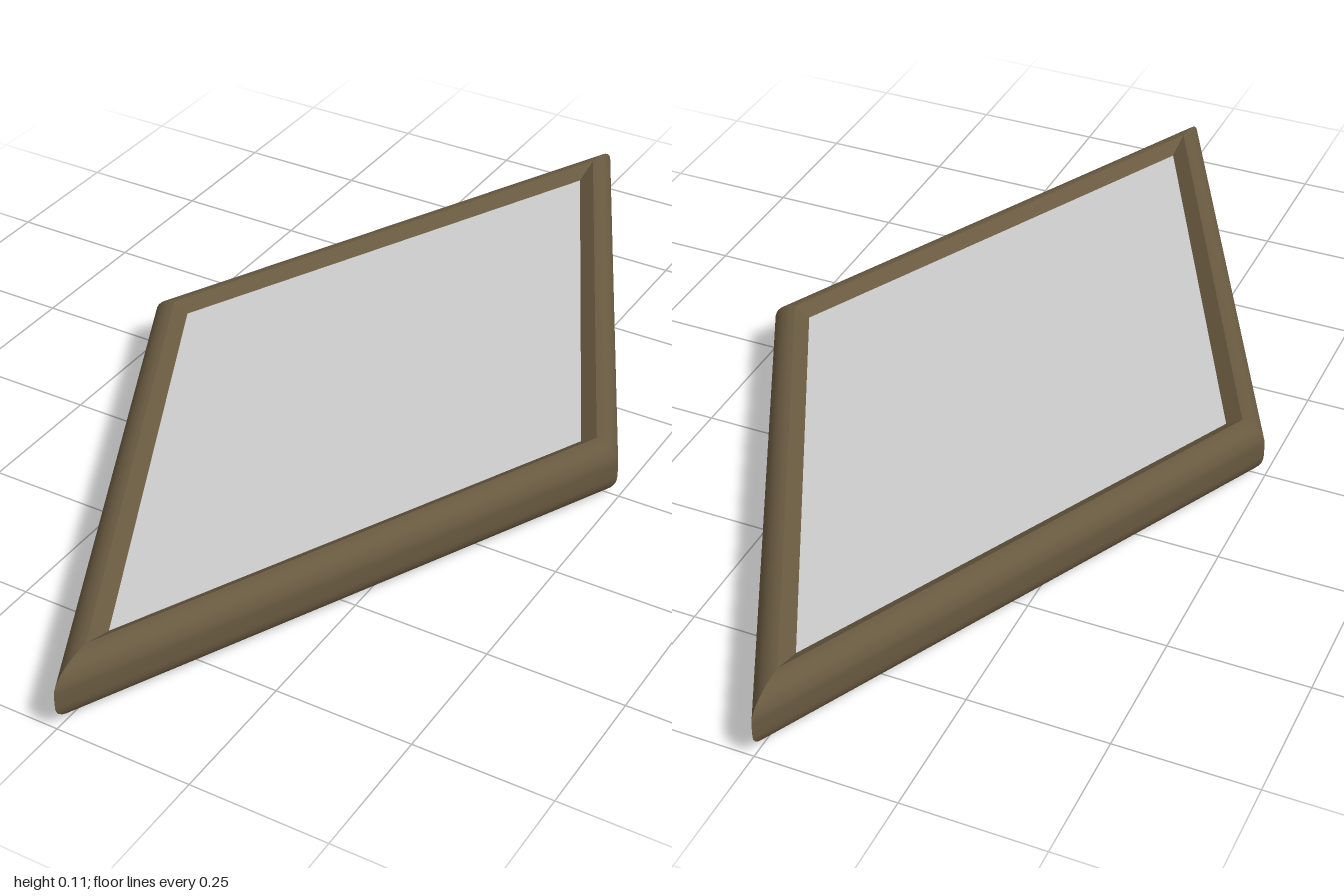
import * as THREE from 'three';

const HALF_X = 0.495, HALF_Z = 1, HEIGHT = 0.11;
const RIM = 0.91, INNER = 0.85;       // rhombus scales of the rim ridge and the panel edge
const PANEL_Y = HEIGHT - 0.018;
const ROUND = 0.042;                  // height of the rounded edges

// Sweeps a profile of [scale, height] points round the four sides of the rhombus.
// Each side has its own vertices, so the mitred corners stay sharp.
function rhombusSweep(profile) {
  const corners = [[HALF_X, 0], [0, -HALF_Z], [-HALF_X, 0], [0, HALF_Z]];
  const positions = [], indices = [];
  for (let i = 0; i < 4; i++) {
    const base = positions.length / 3;
    for (const [s, y] of profile) {
      for (const [x, z] of [corners[i], corners[(i + 1) % 4]]) positions.push(x * s, y, z * s);
    }
    for (let j = 0; j < profile.length - 1; j++) {
      const a = base + j * 2;
      indices.push(a, a + 1, a + 3, a, a + 3, a + 2);
    }
  }
  const geometry = new THREE.BufferGeometry();
  geometry.setAttribute('position', new THREE.Float32BufferAttribute(positions, 3));
  geometry.setIndex(indices);
  geometry.computeVertexNormals();
  return geometry;
}

// Rounded outer edge, from the underside up to the rim ridge
function outerProfile(steps = 8) {
  const points = [];
  for (const [centreY, start] of [[ROUND, -Math.PI / 2], [HEIGHT - ROUND, 0]]) {
    for (let i = 0; i <= steps; i++) {
      const t = start + (i / steps) * Math.PI / 2;
      points.push([RIM + (1 - RIM) * Math.cos(t), centreY + ROUND * Math.sin(t)]);
    }
  }
  return points;
}

export function createModel() {
  const model = new THREE.Group();
  model.name = 'rhombusTile';
  const frameMaterial = new THREE.MeshStandardMaterial({ color: 0x685940 });
  const panelMaterial = new THREE.MeshStandardMaterial({ color: 0xcccccc });

  const add = (name, profile, material, parent) => {
    const mesh = new THREE.Mesh(rhombusSweep(profile), material);
    mesh.name = name;
    parent.add(mesh);
  };

  // Frame: rounded outside, sloping inside, flat underside
  const frame = new THREE.Group();
  frame.name = 'frame';
  model.add(frame);
  add('outerEdge', outerProfile(), frameMaterial, frame);
  add('innerSlope', [[RIM, HEIGHT], [INNER, PANEL_Y]], frameMaterial, frame);
  add('underside', [[0, 0], [RIM, 0]], frameMaterial, frame);

  // Flat panel set just below the rim
  add('panel', [[INNER, PANEL_Y], [0, PANEL_Y]], panelMaterial, model);

  return model;
}
